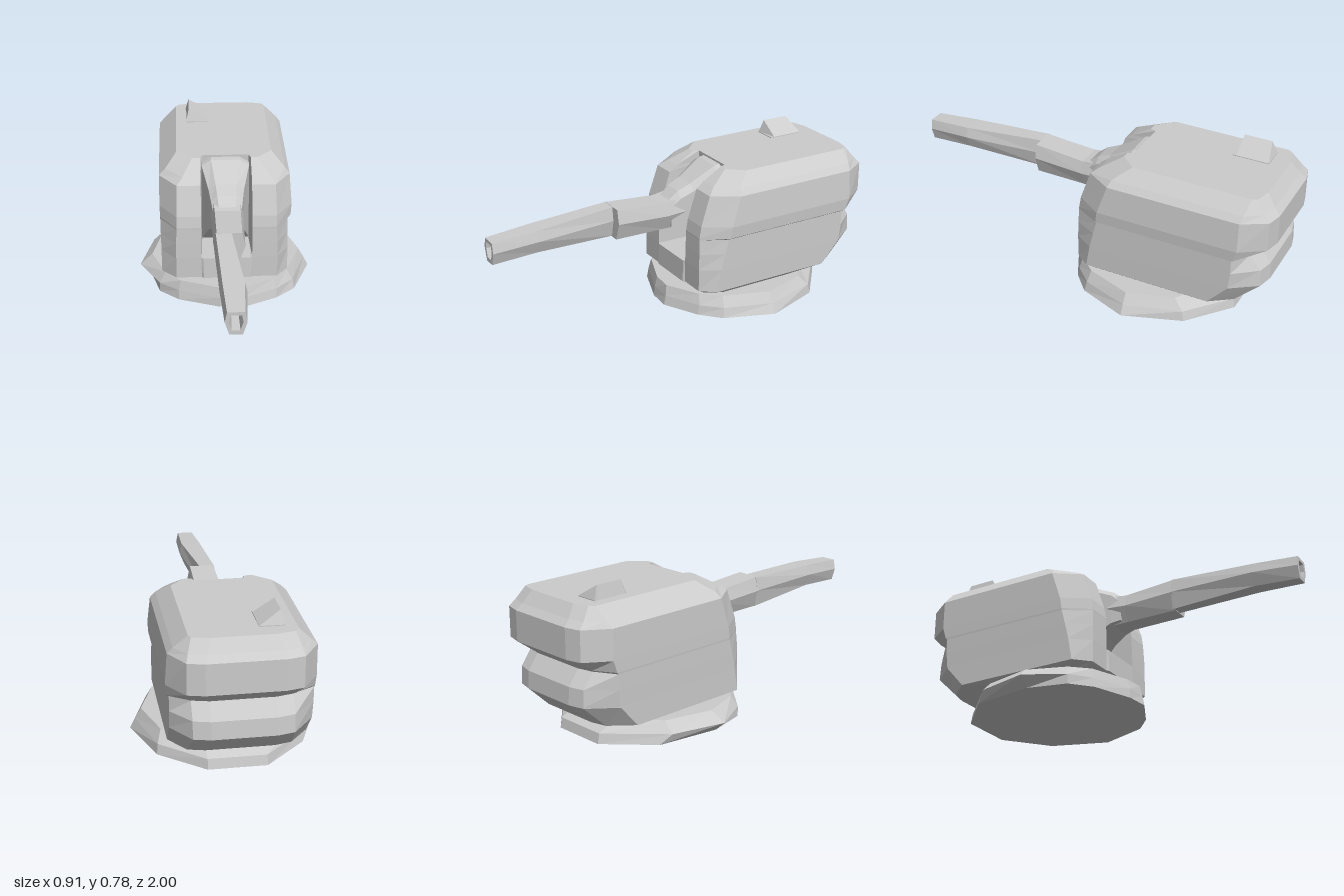
import * as THREE from 'three';

const grey = new THREE.MeshStandardMaterial({ color: 0xcccccc, flatShading: true, side: THREE.DoubleSide });

// Skin a stack of counter-clockwise rings { h, pts: [[u, v], ...] } along y or z.
function loft(name, rings, axis) {
  const place = ([u, v], h) => (axis === 'z' ? [u, v, h] : [u, h, -v]);
  const pos = [];
  const tri = (a, b, c) => pos.push(...a, ...b, ...c);
  for (let i = 0; i + 1 < rings.length; i++) {
    const lo = rings[i], hi = rings[i + 1], n = lo.pts.length;
    for (let j = 0; j < n; j++) {
      const k = (j + 1) % n;
      const a = place(lo.pts[j], lo.h), b = place(lo.pts[k], lo.h);
      const c = place(hi.pts[k], hi.h), d = place(hi.pts[j], hi.h);
      tri(a, b, c);
      tri(a, c, d);
    }
  }
  const cap = (ring, up) => {
    const flat = ring.pts.map(([u, v]) => new THREE.Vector2(u, v));
    for (const [i, j, k] of THREE.ShapeUtils.triangulateShape(flat, [])) {
      const ccw = THREE.ShapeUtils.area([flat[i], flat[j], flat[k]]) > 0;
      const [a, b, c] = [i, j, k].map((m) => place(ring.pts[m], ring.h));
      if (ccw === up) tri(a, b, c);
      else tri(a, c, b);
    }
  };
  cap(rings[0], false);
  cap(rings[rings.length - 1], true);
  const geo = new THREE.BufferGeometry();
  geo.setAttribute('position', new THREE.Float32BufferAttribute(pos, 3));
  geo.computeVertexNormals();
  const mesh = new THREE.Mesh(geo, grey);
  mesh.name = name;
  return mesh;
}

// Full ring at height h from a +x half and a -x half, each [|x|, z] from front to back.
function outline(h, half, otherHalf = half) {
  const plus = half.map(([x, z]) => [x, -z]);
  const minus = otherHalf.map(([x, z]) => [-x, -z]).reverse();
  return { h, pts: [...plus, ...minus] };
}

// Turret section with a gun slot in front; wPlus and wMinus are the two side widths.
function section(y, slotZ, frontX, frontZ, wPlus, wMinus, sideFront, sideBack, backX, backZ) {
  const half = (w) => [
    [0.12, slotZ], [0.13, frontZ], [frontX, frontZ], [w, sideFront],
    [w, sideBack], [backX, backZ + 0.02], [backX - 0.08, backZ],
  ];
  return outline(y, half(wPlus), half(wMinus));
}

// Squarish six-sided barrel ring, broad on top and tapered below.
function barrelRing(z, x0, x1, y0, y1) {
  const cx = (x0 + x1) / 2, rx = (x1 - x0) / 2, mid = y0 + (y1 - y0) * 0.55;
  return {
    h: z,
    pts: [
      [x1, mid], [cx + rx * 0.8, y1], [cx - rx * 0.8, y1],
      [x0, mid], [cx - rx * 0.6, y0], [cx + rx * 0.6, y0],
    ],
  };
}

export function createModel() {
  const model = new THREE.Group();
  model.name = 'gunTurret';

  // Flared turret ring
  model.add(loft('base', [
    outline(0, [[0.08, 0.1], [0.26, 0.01], [0.36, -0.08], [0.455, -0.33], [0.355, -0.62], [0.14, -0.8]],
      [[0.04, 0.09], [0.25, 0.01], [0.35, -0.08], [0.4, -0.28], [0.35, -0.6], [0.14, -0.8]]),
    outline(0.05, [[0.08, 0.09], [0.26, 0], [0.35, -0.09], [0.43, -0.33], [0.35, -0.61], [0.14, -0.79]],
      [[0.04, 0.085], [0.25, 0], [0.35, -0.08], [0.455, -0.28], [0.385, -0.55], [0.14, -0.79]]),
    outline(0.103, [[0.07, 0.08], [0.24, -0.01], [0.32, -0.1], [0.4, -0.33], [0.33, -0.56], [0.14, -0.68]],
      [[0.04, 0.07], [0.24, -0.01], [0.32, -0.1], [0.39, -0.3], [0.33, -0.55], [0.14, -0.68]]),
  ], 'y'));

  // Faceted turret: crease on the +x side, folded back
  model.add(loft('turretBody', [
    section(0.106, -0.04, 0.25, -0.04, 0.29, 0.29, -0.12, -0.5, 0.2, -0.6),
    section(0.13, 0.015, 0.26, 0.005, 0.318, 0.335, -0.07, -0.72, 0.24, -0.85),
    section(0.243, 0.01, 0.26, 0.005, 0.32, 0.336, -0.09, -0.82, 0.23, -0.97),
    section(0.246, -0.25, 0.26, 0.005, 0.32, 0.336, -0.09, -0.82, 0.23, -0.97),
    section(0.33, -0.25, 0.26, 0.003, 0.32, 0.338, -0.11, -0.83, 0.23, -0.965),
    section(0.405, -0.25, 0.255, 0, 0.32, 0.339, -0.13, -0.83, 0.23, -0.91),
    section(0.415, -0.25, 0.255, 0, 0.335, 0.34, -0.13, -0.84, 0.24, -0.92),
    section(0.475, -0.25, 0.255, -0.01, 0.34, 0.341, -0.14, -0.86, 0.26, -1),
    section(0.625, -0.24, 0.25, -0.06, 0.33, 0.341, -0.19, -0.86, 0.26, -1),
    section(0.655, -0.23, 0.22, -0.1, 0.305, 0.31, -0.2, -0.87, 0.25, -0.97),
    section(0.714, -0.23, 0.17, -0.2, 0.24, 0.25, -0.28, -0.88, 0.23, -0.925),
  ], 'y'));

  // Funnel shield that fills the slot and narrows onto the gun
  const shield = (z, w, low, high) => ({
    h: z,
    pts: [[w, low], [w, high - 0.03], [w * 0.6, high], [-w * 0.6, high], [-w, high - 0.03], [-w, low]],
  });
  model.add(loft('gunShield', [
    shield(-0.28, 0.122, 0.25, 0.71),
    shield(-0.2, 0.122, 0.25, 0.7),
    shield(-0.07, 0.09, 0.37, 0.625),
    shield(0, 0.08, 0.41, 0.595),
    shield(0.05, 0.07, 0.42, 0.555),
  ], 'z'));

  // Thick sleeve at the root of the barrel
  model.add(loft('barrelSleeve', [
    barrelRing(-0.02, -0.085, 0.085, 0.408, 0.565),
    barrelRing(0.08, -0.08, 0.082, 0.41, 0.552),
    barrelRing(0.35, -0.078, 0.075, 0.411, 0.573),
  ], 'z'));

  // Slim barrel with a hollow muzzle
  model.add(loft('barrel', [
    barrelRing(0.34, -0.077, 0.018, 0.414, 0.572),
    barrelRing(0.77, -0.064, 0.062, 0.44, 0.555),
    barrelRing(1, -0.05, 0.05, 0.427, 0.541),
    barrelRing(1, -0.032, 0.032, 0.448, 0.525),
    barrelRing(0.81, -0.025, 0.025, 0.455, 0.52),
  ], 'z'));

  // Wedge-shaped sight on the roof
  const wedge = (z, peakX, peakY) => ({
    h: z, pts: [[-0.195, 0.7], [-0.08, 0.7], [-0.08, 0.718], [peakX, peakY]],
  });
  model.add(loft('roofSight', [
    wedge(-0.84, -0.195, 0.718), wedge(-0.815, -0.18, 0.782),
    wedge(-0.675, -0.18, 0.782), wedge(-0.655, -0.195, 0.718),
  ], 'z'));

  return model;
}
